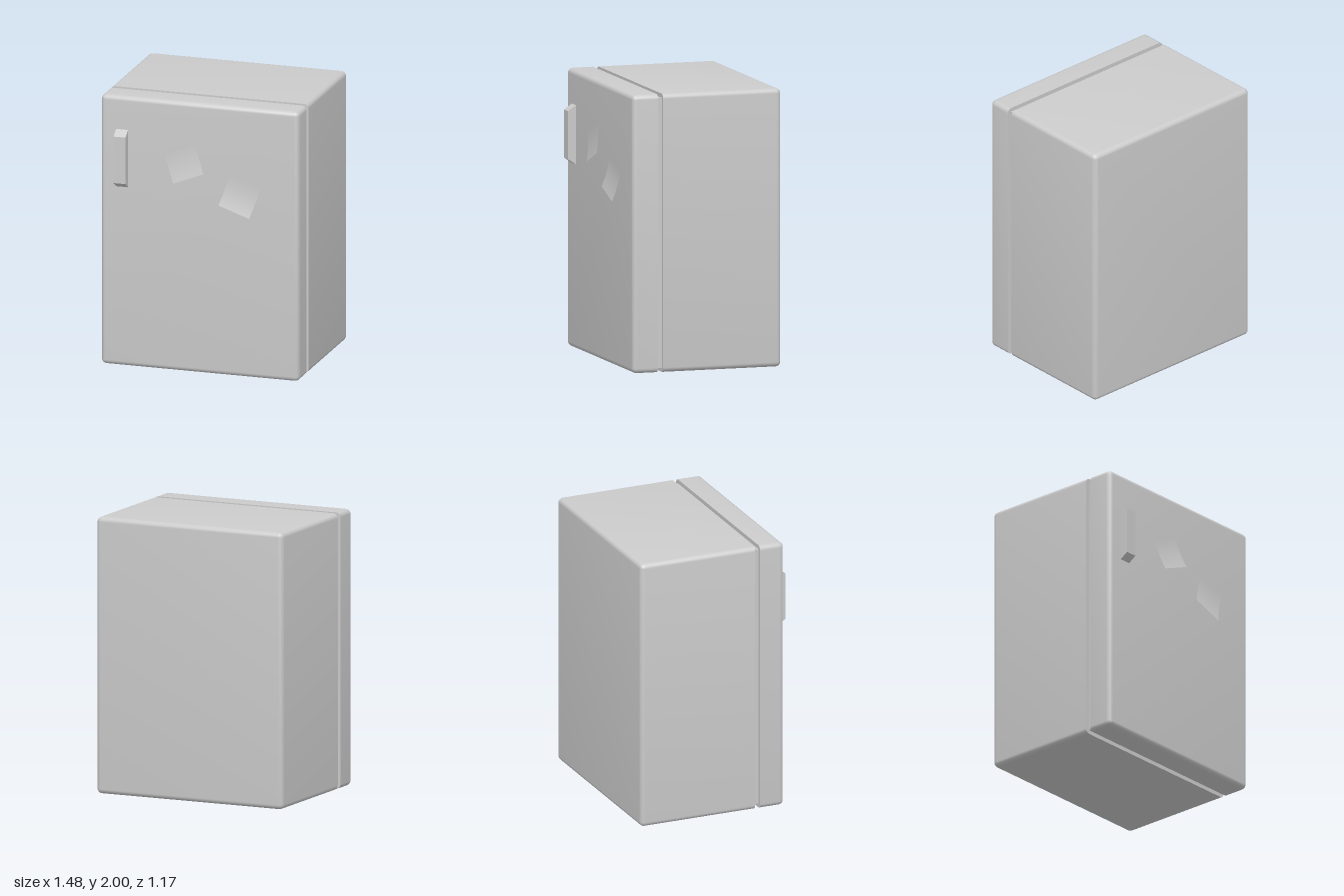
import * as THREE from 'three';
import { toCreasedNormals } from 'three/addons/utils/BufferGeometryUtils.js';

const W = 0.74, R = 0.035, STEPS = 6;
const DOOR_FRONT = 0.527;
const grey = new THREE.MeshStandardMaterial({ color: 0xcccccc });
const sheetGrey = new THREE.MeshStandardMaterial({ color: 0xcccccc, side: THREE.DoubleSide });

// Rounded-rectangle loop, counter-clockwise seen from +z
function section(inset, z) {
  const pts = [];
  const signs = [[1, 1], [-1, 1], [-1, -1], [1, -1]];
  signs.forEach(([sx, sy], q) => {
    for (let i = 0; i <= STEPS; i++) {
      const a = (q + i / STEPS) * Math.PI / 2;
      pts.push([
        sx * (W - R) + (R - inset) * Math.cos(a),
        1 + sy * (1 - R) + (R - inset) * Math.sin(a), z]);
    }
  });
  return pts;
}

// Box with rounded upright edges; only its outer end (the zRound side) is rounded over
function shellGeometry(zFlat, zRound) {
  const dir = Math.sign(zRound - zFlat);
  const loops = [section(0, zFlat)];
  for (let i = 0; i <= STEPS; i++) {
    const a = i / STEPS * Math.PI / 2;
    const inset = Math.min(R * (1 - Math.cos(a)), R - 0.0005);
    loops.push(section(inset, zRound - dir * R * (1 - Math.sin(a))));
  }
  if (dir < 0) loops.reverse();
  const n = loops[0].length, index = [];
  const positions = loops.flat(2);
  for (let k = 0; k < loops.length - 1; k++) {
    for (let i = 0; i < n; i++) {
      const a = k * n + i, b = k * n + (i + 1) % n;
      index.push(a, b, b + n, a, b + n, a + n);
    }
  }
  // Flat end caps
  const last = (loops.length - 1) * n;
  for (let i = 1; i < n - 1; i++) {
    index.push(0, i + 1, i, last, last + i, last + i + 1);
  }
  const g = new THREE.BufferGeometry();
  g.setAttribute('position', new THREE.Float32BufferAttribute(positions, 3));
  g.setIndex(index);
  return toCreasedNormals(g, Math.PI / 5);
}

// Square paper note: top edge flat on the door, bottom edge curling outwards
function noteGeometry(size) {
  const g = new THREE.PlaneGeometry(size, size, 1, 12);
  const p = g.attributes.position;
  for (let i = 0; i < p.count; i++) {
    const s = 0.5 - p.getY(i) / size;
    p.setZ(i, 0.003 + 0.035 * s * s);
  }
  g.computeVertexNormals();
  return g;
}

export function createModel() {
  const model = new THREE.Group();
  const add = (name, geometry, material = grey) => {
    const mesh = new THREE.Mesh(geometry, material);
    mesh.name = name;
    model.add(mesh);
    return mesh;
  };

  // Cabinet, door and the recessed seal between them
  add('cabinet', shellGeometry(0.3, -0.587));
  add('door', shellGeometry(0.34, DOOR_FRONT));
  add('seal', new THREE.BoxGeometry(1.42, 1.94, 0.06)).position.set(0, 1, 0.32);

  // Handle: trapezoid side profile extruded across its width
  const profile = new THREE.Shape([
    [-0.52, 1.325], [-0.587, 1.37], [-0.587, 1.715], [-0.52, 1.76],
  ].map(([x, y]) => new THREE.Vector2(x, y)));
  const handle = new THREE.ExtrudeGeometry(profile, { depth: 0.09, bevelEnabled: false });
  handle.rotateY(Math.PI / 2);
  add('handle', handle).position.x = -0.625;

  // Paper notes
  const note = noteGeometry(0.243);
  [['leftNote', -0.118, 1.558, 0.38], ['rightNote', 0.307, 1.345, -0.33]].forEach(([name, x, y, tilt]) => {
    const mesh = add(name, note, sheetGrey);
    mesh.position.set(x, y, DOOR_FRONT);
    mesh.rotation.z = tilt;
  });

  // Handle profile was drawn with -x as outward; the turn above makes that +z
  return model;
}
